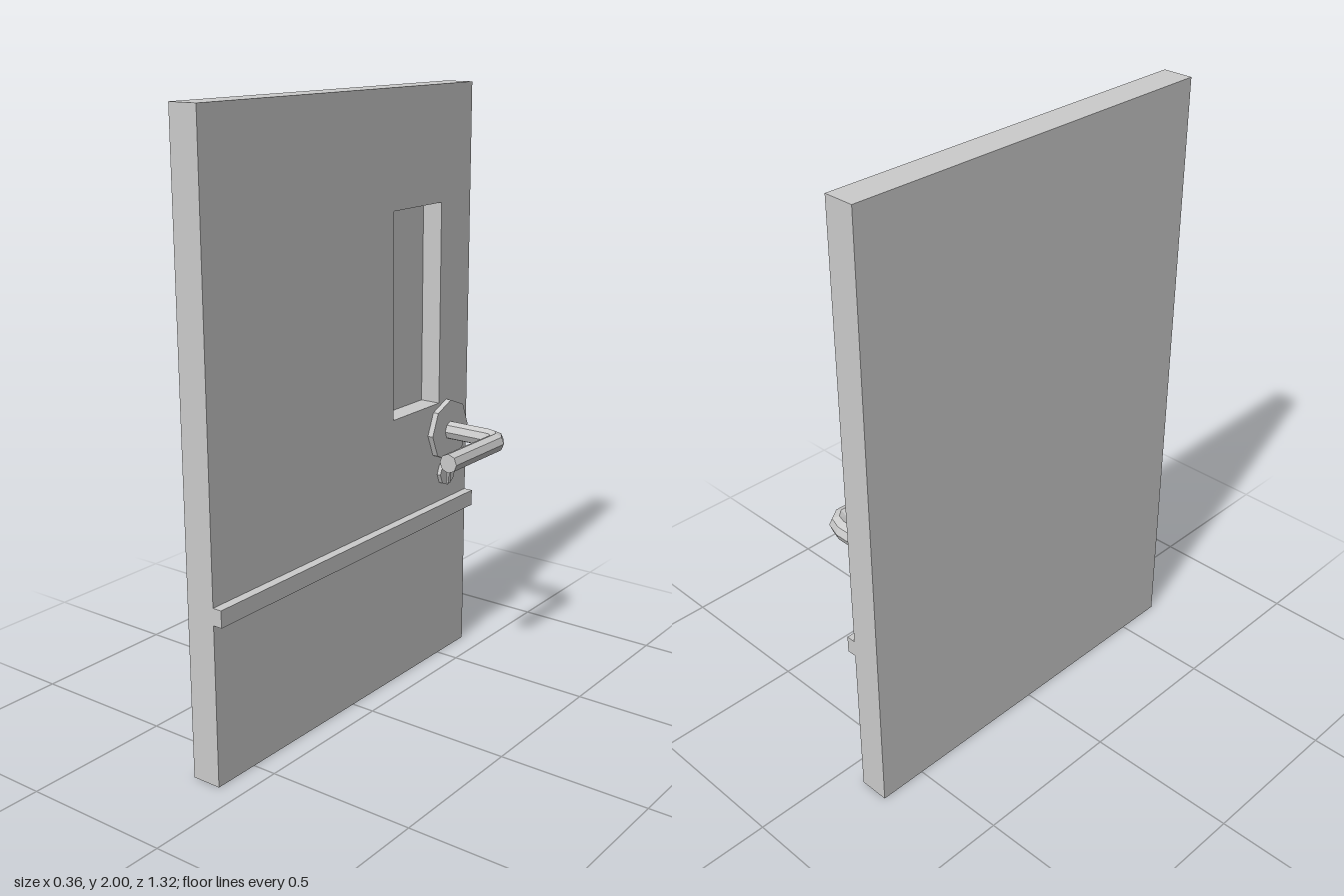
import * as THREE from 'three';

const material = new THREE.MeshStandardMaterial({ color: 0xcccccc, flatShading: true });

// Door faces and the lever axis
const BACK = -0.18, FACE = -0.08, HALF_W = 0.66, HEIGHT = 2;
const LEVER_Y = 0.832, LEVER_Z = -0.532;

function add(parent, name, geometry, x = 0, y = 0, z = 0) {
  const mesh = new THREE.Mesh(geometry, material);
  mesh.name = name;
  mesh.position.set(x, y, z);
  parent.add(mesh);
  return mesh;
}

function rect(path, x0, y0, x1, y1) {
  return path.moveTo(x0, y0).lineTo(x1, y0).lineTo(x1, y1).lineTo(x0, y1).closePath();
}

// Eight-sided disc standing off the door face, one corner pointing up
function disc(parent, name, radius, depth, y, z) {
  const geometry = new THREE.CylinderGeometry(radius, radius, depth, 8).rotateZ(-Math.PI / 2);
  return add(parent, name, geometry, FACE + depth / 2, y, z);
}

// Bent octagonal bar: each ring of a cylinder is placed on a path in the xz plane
function leverGeometry(radius) {
  const rings = [ // x, z, heading (0 = +x, 90 = +z)
    [-0.062, LEVER_Z, 0],
    [0.094, LEVER_Z, 0],
    [0.124, -0.523, 45],
    [0.1435, -0.5, 90],
    [0.1435, -0.213, 90],
  ];
  const geometry = new THREE.CylinderGeometry(radius, radius, 1, 8, rings.length - 1);
  const p = geometry.attributes.position;
  for (let i = 0; i < p.count; i++) {
    const [cx, cz, heading] = rings[Math.round((p.getY(i) + 0.5) * (rings.length - 1))];
    const a = THREE.MathUtils.degToRad(heading);
    const up = p.getX(i), side = p.getZ(i);
    p.setXYZ(i, cx + side * Math.sin(a), LEVER_Y + up, cz - side * Math.cos(a));
  }
  geometry.computeVertexNormals();
  return geometry;
}

export function createModel() {
  const model = new THREE.Group();
  model.name = 'door';

  // Door leaf: solid back skin plus a front layer with the recess cut through it
  const leaf = new THREE.Group();
  leaf.name = 'doorLeaf';
  model.add(leaf);
  const recessDepth = 0.072;
  const skin = FACE - BACK - recessDepth;
  add(leaf, 'backSkin', new THREE.BoxGeometry(skin, HEIGHT, 2 * HALF_W), BACK + skin / 2, HEIGHT / 2, 0);
  const outline = rect(new THREE.Shape(), -HALF_W, 0, HALF_W, HEIGHT);
  outline.holes.push(rect(new THREE.Path(), 0.222, 0.935, 0.488, 1.62));
  const front = new THREE.ExtrudeGeometry(outline, { depth: recessDepth, bevelEnabled: false });
  add(leaf, 'recessedFront', front.rotateY(Math.PI / 2), BACK + skin, 0, 0);

  // Rail across the full width
  add(model, 'crossRail', new THREE.BoxGeometry(0.031, 0.055, 2 * HALF_W), FACE + 0.0155, 0.552, 0);

  // Lever handle with its rose
  const handle = new THREE.Group();
  handle.name = 'handle';
  model.add(handle);
  disc(handle, 'handleRose', 0.108, 0.02, LEVER_Y, LEVER_Z);
  add(handle, 'lever', leverGeometry(0.032));

  // Lock with a thin thumb turn
  const lock = new THREE.Group();
  lock.name = 'lock';
  model.add(lock);
  disc(lock, 'lockDisc', 0.046, 0.014, 0.679, -0.529);
  add(lock, 'thumbTurn', new THREE.BoxGeometry(0.022, 0.076, 0.012), FACE + 0.011, 0.679, -0.529);

  return model;
}
